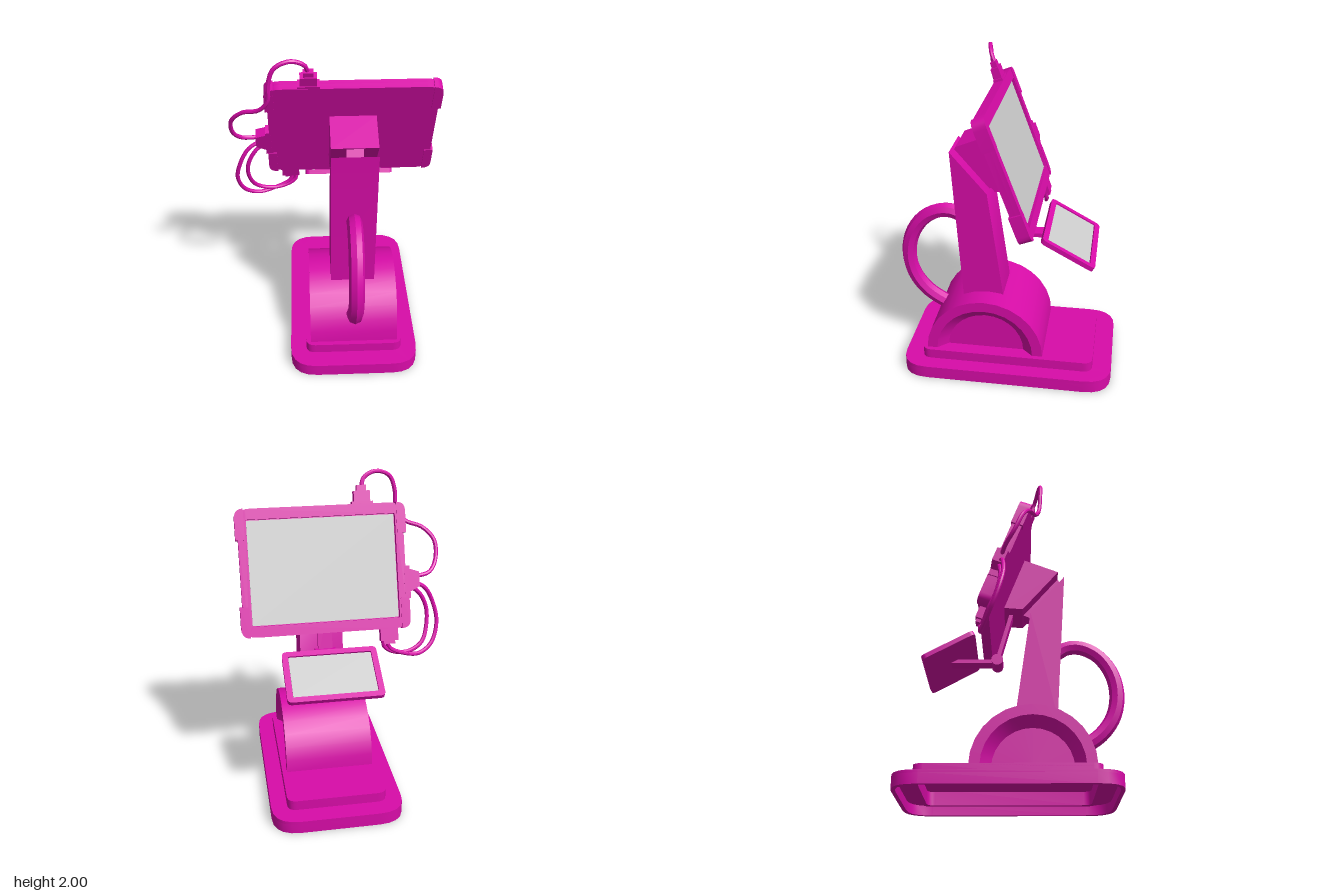
import * as THREE from 'three';
import { toCreasedNormals } from 'three/addons/utils/BufferGeometryUtils.js';

const paint = new THREE.MeshStandardMaterial({ color: 0xd80ca8, side: THREE.DoubleSide });
const grey = new THREE.MeshStandardMaterial({ color: 0xcccccc, side: THREE.DoubleSide });
const MID = 0.11; // x of the stand's plane of symmetry

function add(parent, name, geometry, x = 0, y = 0, z = 0, material = paint) {
  const mesh = new THREE.Mesh(toCreasedNormals(geometry, 0.6), material);
  mesh.name = name;
  mesh.position.set(x, y, z);
  parent.add(mesh);
  return mesh;
}

// Rounded rectangle outline
function roundRect(w, h, r, Type = THREE.Shape) {
  const s = new Type(), a = w / 2, b = h / 2;
  s.moveTo(-a + r, -b);
  s.lineTo(a - r, -b).quadraticCurveTo(a, -b, a, -b + r);
  s.lineTo(a, b - r).quadraticCurveTo(a, b, a - r, b);
  s.lineTo(-a + r, b).quadraticCurveTo(-a, b, -a, b - r);
  s.lineTo(-a, -b + r).quadraticCurveTo(-a, -b, -a + r, -b);
  return s;
}

// Rounded slab from z = 0 to z = depth, with an optional [w, h, r] opening
function slab(w, h, r, depth, hole) {
  const s = roundRect(w, h, r);
  if (hole) s.holes.push(roundRect(...hole, THREE.Path));
  return new THREE.ExtrudeGeometry(s, { depth, bevelEnabled: false, curveSegments: 5 });
}
const flatSlab = (...args) => slab(...args).rotateX(-Math.PI / 2);

// Prism across x from a [z, y] side profile
function sidePrism(points, width) {
  const s = new THREE.Shape(points.map(p => new THREE.Vector2(...p)));
  const g = new THREE.ExtrudeGeometry(s, { depth: width, bevelEnabled: false });
  return g.translate(0, 0, -width / 2).rotateY(-Math.PI / 2);
}

// Bar between two [z, y] points
function bar(a, b, thick, width) {
  const dz = b[0] - a[0], dy = b[1] - a[1], k = thick / 2 / Math.hypot(dz, dy);
  const n = [-dy * k, dz * k];
  return sidePrism([[a[0] + n[0], a[1] + n[1]], [b[0] + n[0], b[1] + n[1]],
    [b[0] - n[0], b[1] - n[1]], [a[0] - n[0], a[1] - n[1]]], width);
}

function tube(points, radius, segments, sides) {
  const curve = new THREE.CatmullRomCurve3(points.map(p => new THREE.Vector3(...p)));
  return new THREE.TubeGeometry(curve, segments, radius, sides);
}

function buildBase(root) {
  const base = new THREE.Group();
  base.name = 'base';
  base.position.set(MID, 0, -0.03);
  root.add(base);
  // hollow foot: wall, top plate, raised step and its deck
  add(base, 'footWall', flatSlab(0.82, 1.34, 0.17, 0.065, [0.77, 1.29, 0.15]));
  add(base, 'footTop', flatSlab(0.82, 1.34, 0.17, 0.02, [0.58, 1.06, 0.05]), 0, 0.062);
  add(base, 'stepWall', flatSlab(0.62, 1.1, 0.06, 0.105, [0.56, 1.04, 0.05]), 0, 0.04);
  add(base, 'stepDeck', flatSlab(0.62, 1.1, 0.06, 0.02), 0, 0.126);
}

function buildDrum(root) {
  // half drum with a tapered recess in each end
  const o = 0.28, i = 0.22;
  const profile = [[0.001, -i], [0.245, -i], [0.31, -o], [0.375, -o],
    [0.375, o], [0.31, o], [0.245, i], [0.001, i]].map(p => new THREE.Vector2(...p));
  const g = new THREE.LatheGeometry(profile, 14, Math.PI, Math.PI).rotateZ(-Math.PI / 2);
  add(root, 'drum', g, MID, 0.14, 0.115);
}

function buildNeck(root) {
  add(root, 'post', sidePrism([[0.27, 0.4], [0.01, 0.4], [0.01, 0.48], [0.11, 1.2],
    [0.335, 1.46], [0.27, 0.48]], 0.28), MID);
  add(root, 'hinge', sidePrism([[0.325, 1.44], [0.295, 1.49], [0.065, 1.22], [0.11, 1.2]], 0.1), MID);
  add(root, 'head', sidePrism([[0.295, 1.495], [0.075, 1.585], [-0.06, 1.23], [0.06, 1.22]], 0.28), MID);
  // carrying handle bowed out from the post down to the drum
  add(root, 'handle', tube([[0, 0.95, 0.26], [0, 1.0, 0.34], [0, 1.005, 0.43], [0, 0.95, 0.54],
    [0, 0.83, 0.625], [0, 0.68, 0.655], [0, 0.53, 0.625], [0, 0.41, 0.54], [0, 0.33, 0.42],
    [0, 0.31, 0.37]], 0.048, 28, 8), MID);
}

function buildScreen(root) {
  const screen = new THREE.Group();
  screen.name = 'mainScreen';
  screen.position.set(MID, 1.44, -0.045);
  screen.rotation.x = 0.358;
  root.add(screen);
  add(screen, 'backShell', slab(1.01, 0.77, 0.08, 0.038), 0, 0, -0.006);
  add(screen, 'bezel', slab(1.01, 0.77, 0.08, 0.03, [0.91, 0.64, 0.01]), 0, 0, -0.034);
  add(screen, 'display', new THREE.BoxGeometry(0.9, 0.63, 0.01), 0, 0, -0.012, grey);
  // corner bumpers
  for (const sx of [-1, 1]) for (const sy of [-1, 1]) {
    const s = new THREE.Shape();
    s.moveTo(sx * 0.465, sy * 0.2);
    s.lineTo(sx * 0.52, sy * 0.2);
    s.lineTo(sx * 0.52, sy * 0.33);
    s.quadraticCurveTo(sx * 0.52, sy * 0.387, sx * 0.465, sy * 0.387);
    add(screen, 'cornerBumper',
      new THREE.ExtrudeGeometry(s, { depth: 0.078, bevelEnabled: false, curveSegments: 5 }), 0, 0, -0.039);
  }
  // top plug
  add(screen, 'topPlugCollar', new THREE.BoxGeometry(0.13, 0.03, 0.06), -0.26, 0.385, 0);
  add(screen, 'topPlug', new THREE.BoxGeometry(0.1, 0.08, 0.05), -0.26, 0.425, 0);
  add(screen, 'topPlugNeck', new THREE.BoxGeometry(0.06, 0.04, 0.035), -0.26, 0.48, 0);
  // side plug, tapering outwards
  const s = new THREE.Shape([[0, -0.1], [0, 0.1], [-0.035, 0.1], [-0.035, 0.08], [-0.095, 0.06],
    [-0.095, -0.03], [-0.035, -0.06], [-0.035, -0.1]].map(p => new THREE.Vector2(...p)));
  add(screen, 'sidePlug', new THREE.ExtrudeGeometry(s, { depth: 0.07, bevelEnabled: false }),
    -0.495, -0.105, -0.035);
  // bottom plug
  add(screen, 'bottomPlug', new THREE.BoxGeometry(0.11, 0.08, 0.045), -0.385, -0.42, 0);
  add(screen, 'bottomPlugNeck', new THREE.BoxGeometry(0.07, 0.03, 0.03), -0.385, -0.465, 0);
}

function buildCables(root) {
  const paths = {
    upperCable: [[-0.15, 1.88, 0.115], [-0.17, 1.95, 0.145], [-0.25, 1.985, 0.165], [-0.34, 1.95, 0.178],
      [-0.375, 1.86, 0.175], [-0.385, 1.74, 0.165], [-0.44, 1.67, 0.14], [-0.54, 1.635, 0.1],
      [-0.61, 1.56, 0.06], [-0.61, 1.45, 0.01], [-0.56, 1.385, -0.04], [-0.45, 1.37, -0.07]],
    outerCable: [[-0.45, 1.34, -0.075], [-0.53, 1.29, -0.06], [-0.59, 1.18, -0.055], [-0.612, 1.06, -0.08],
      [-0.57, 0.94, -0.13], [-0.48, 0.89, -0.17], [-0.36, 0.915, -0.195], [-0.28, 0.96, -0.2],
      [-0.26, 1.03, -0.2]],
    innerCable: [[-0.44, 1.31, -0.085], [-0.5, 1.25, -0.075], [-0.54, 1.16, -0.075], [-0.54, 1.06, -0.1],
      [-0.5, 0.96, -0.15], [-0.41, 0.915, -0.18], [-0.31, 0.925, -0.195], [-0.245, 0.97, -0.2],
      [-0.24, 1.03, -0.2]],
  };
  for (const name in paths) add(root, name, tube(paths[name], 0.013, 48, 8));
}

function buildSmallScreen(root) {
  // jointed arm from the head
  add(root, 'armStrut', bar([-0.105, 0.9], [-0.01, 1.25], 0.025, 0.09), MID);
  add(root, 'armBar', bar([-0.1, 0.895], [-0.4, 0.895], 0.026, 0.09), MID);
  add(root, 'armKnuckle', new THREE.CylinderGeometry(0.038, 0.038, 0.13, 14).rotateZ(Math.PI / 2),
    MID, 0.9, -0.105);
  // tilted screen facing up and away
  const small = new THREE.Group();
  small.name = 'smallScreen';
  small.position.set(MID, 0.9, -0.4);
  small.rotation.x = Math.PI / 2 - 0.5;
  root.add(small);
  add(small, 'smallBack', slab(0.58, 0.36, 0.03, 0.014), 0, 0, 0);
  add(small, 'smallBezel', slab(0.58, 0.36, 0.03, 0.016, [0.51, 0.29, 0.005]), 0, 0, -0.015);
  add(small, 'smallDisplay', new THREE.BoxGeometry(0.505, 0.285, 0.008), 0, 0, -0.004, grey);
}

export function createModel() {
  const root = new THREE.Group();
  root.name = 'checkoutStand';
  for (const build of [buildBase, buildDrum, buildNeck, buildScreen, buildCables, buildSmallScreen]) build(root);
  return root;
}
